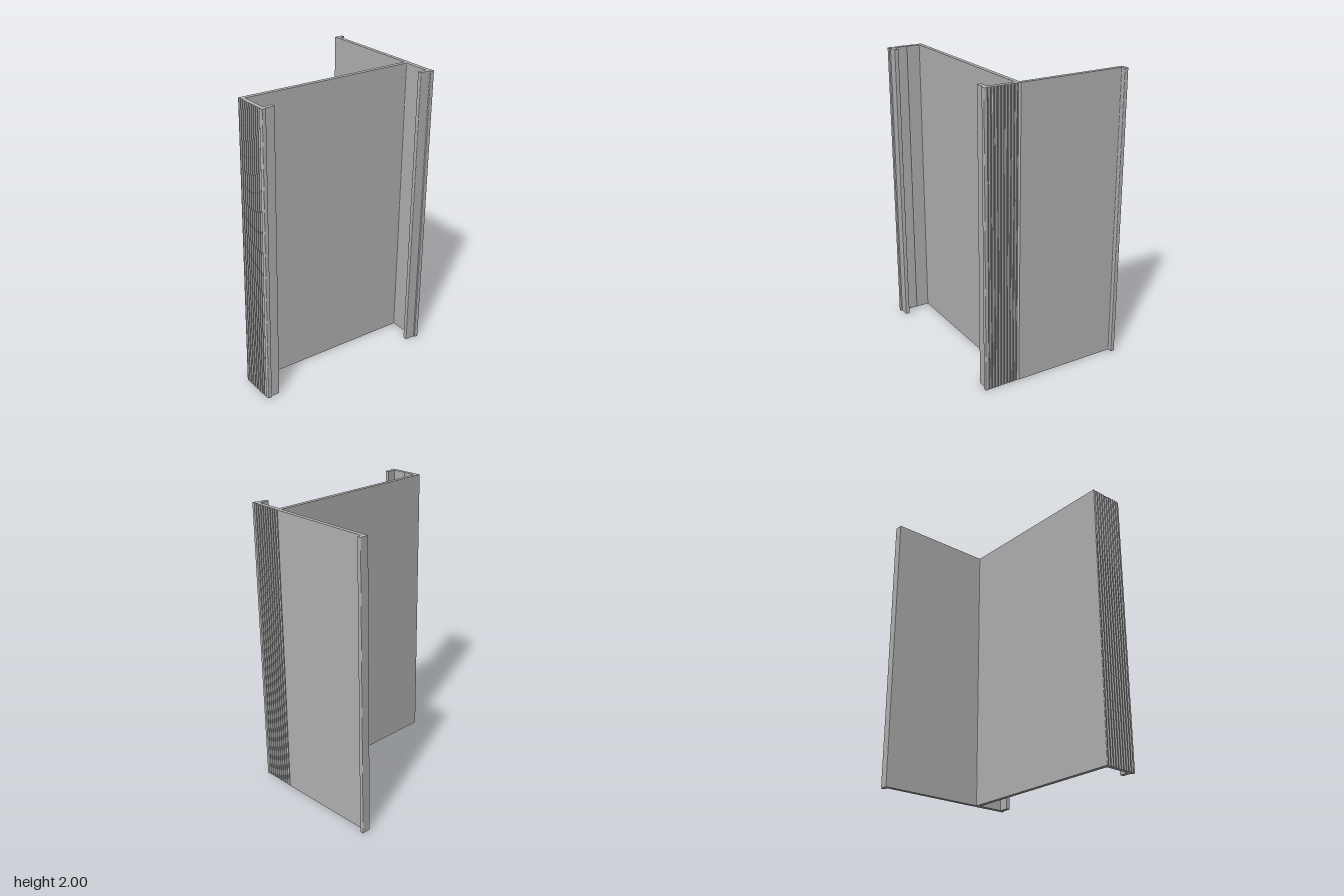
import * as THREE from 'three';

const HEIGHT = 2;
const TEETH = 10;
const PITCH = 0.0228;
const GRIP_START = 0.262;

// Serrated grip edge running towards +z: crests at xOut, grooves at xIn
function gripEdge(xOut, xIn) {
  const points = [];
  for (let i = 0; i < TEETH; i++) {
    const z = GRIP_START + i * PITCH;
    points.push(
      [xOut, z],
      [xIn, z + PITCH * 0.3],
      [xIn, z + PITCH * 0.45],
      [xOut, z + PITCH * 0.75]
    );
  }
  return points;
}

// Closed outline from [x, z, cornerRadius] points, with small rounded corners
function roundedOutline(points) {
  const shape = new THREE.Shape();
  const n = points.length;
  const at = (i) => {
    const p = points[(i + n) % n];
    return new THREE.Vector2(p[0], -p[1]);
  };
  for (let i = 0; i < n; i++) {
    const r = points[i][2] || 0;
    const p = at(i);
    const a = p.clone().add(at(i - 1).sub(p).setLength(r));
    const b = p.clone().add(at(i + 1).sub(p).setLength(r));
    if (i === 0) shape.moveTo(a.x, a.y);
    else shape.lineTo(a.x, a.y);
    if (r > 0) shape.quadraticCurveTo(p.x, p.y, b.x, b.y);
  }
  shape.closePath();
  return shape;
}

export function createModel() {
  const group = new THREE.Group();
  group.name = 'channelProfile';
  const metal = new THREE.MeshStandardMaterial({ color: 0xb3b3b3 });
  metal.name = 'grey metal';

  const R = 0.005;
  const outline = [
    // back of the web, then up the tall fin to its hook
    [-0.664, 0.25, R],
    [0.603, 0.25, R],
    [0.603, -0.51, 0.002],
    [0.664, -0.51, R],
    [0.664, -0.482, R],
    [0.632, -0.482, R],
    // right leg: grip, foot and inward lip
    [0.632, 0.256],
    [0.627, 0.259],
    ...gripEdge(0.632, 0.626),
    [0.632, 0.506, R],
    [0.603, 0.506, R],
    [0.603, 0.495, R],
    [0.532, 0.495, R],
    [0.532, 0.466, 0.002],
    [0.597, 0.466, R],
    // inside of the channel
    [0.597, 0.279, R],
    [-0.632, 0.279, R],
    [-0.632, 0.365],
    [-0.635, 0.371],
    [-0.632, 0.377],
    // left leg: inward lip, foot and grip
    [-0.632, 0.466, R],
    [-0.567, 0.466, R],
    [-0.567, 0.495, R],
    [-0.632, 0.495, R],
    [-0.632, 0.506, R],
    [-0.659, 0.506, R],
    [-0.659, 0.494],
    ...gripEdge(-0.664, -0.658).reverse(),
  ];

  const geometry = new THREE.ExtrudeGeometry(roundedOutline(outline), {
    depth: HEIGHT,
    bevelEnabled: false,
    curveSegments: 4,
  });
  geometry.rotateX(-Math.PI / 2);

  const profile = new THREE.Mesh(geometry, metal);
  profile.name = 'extrudedProfile';
  group.add(profile);
  return group;
}
